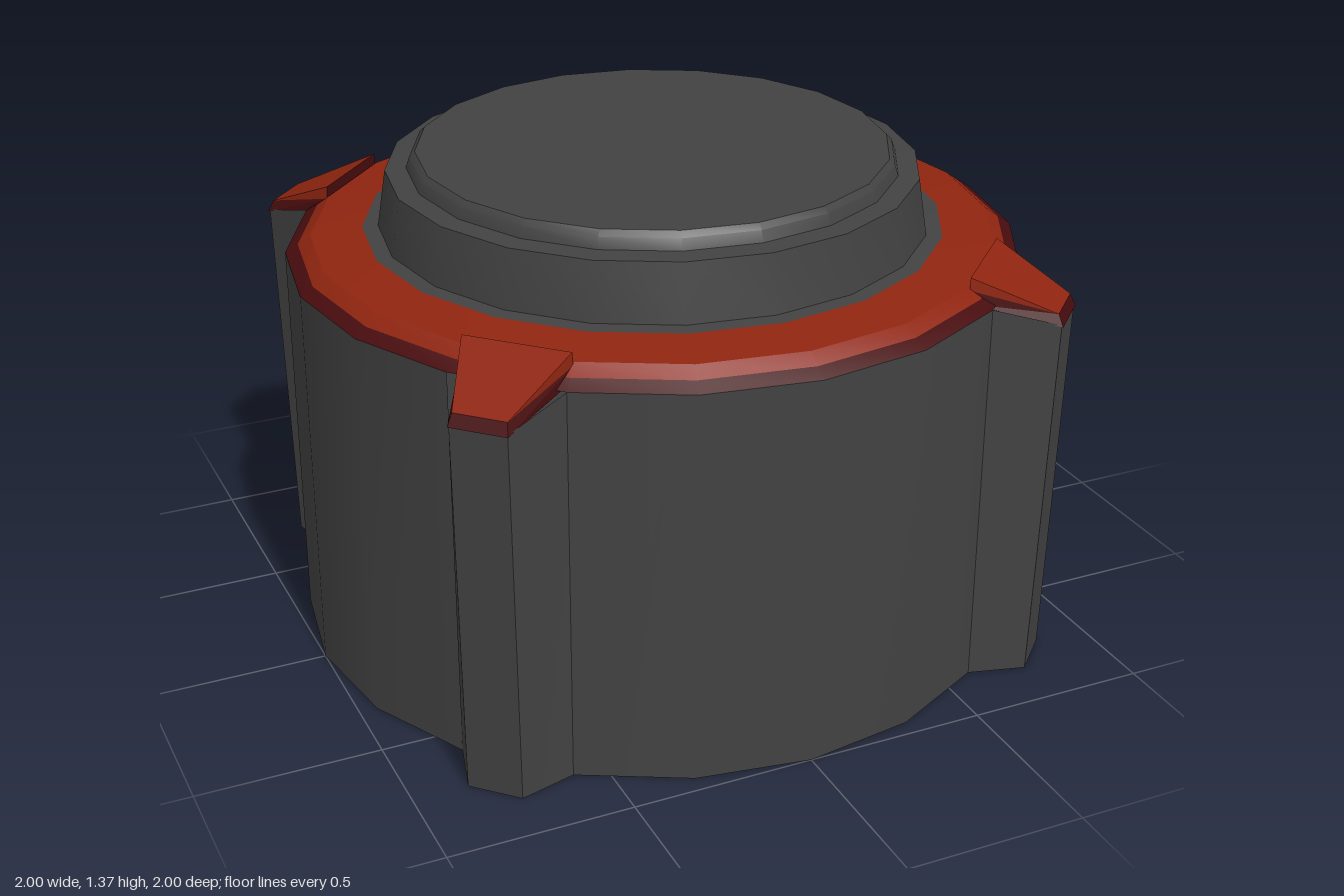
import * as THREE from 'three';
import { toCreasedNormals } from 'three/addons/utils/BufferGeometryUtils.js';

const SIDES = 20;

function material(name, color) {
  const m = new THREE.MeshStandardMaterial({ color, side: THREE.DoubleSide });
  m.name = name;
  return m;
}

// Geometry from a list of four-cornered faces, counter-clockwise from outside
function quads(faces) {
  const pos = [];
  for (const [a, b, c, d] of faces) pos.push(...a, ...b, ...c, ...a, ...c, ...d);
  const g = new THREE.BufferGeometry();
  g.setAttribute('position', new THREE.Float32BufferAttribute(pos, 3));
  g.computeVertexNormals();
  return g;
}

function lathe(points) {
  const g = new THREE.LatheGeometry(points.map(([r, y]) => new THREE.Vector2(r, y)), SIDES);
  return toCreasedNormals(g, 0.5);
}

function add(parent, name, geometry, mat) {
  const mesh = new THREE.Mesh(geometry, mat);
  mesh.name = name;
  parent.add(mesh);
  return mesh;
}

// Open-bottomed wall: a 20-sided tube whose diagonal sides bulge out as hollow ribs
function wallGeometry() {
  const columns = [];
  const push = (angle, radius, side, baseRadius, topY) => {
    const s = Math.sin(angle), c = Math.cos(angle);
    const at = (r, y) => [s * r + c * side, y, c * r - s * side];
    columns.push([at(baseRadius, 0), at(radius, topY)]);
  };
  for (let i = 0; i < SIDES; i++) {
    push(i * Math.PI * 2 / SIDES, 1, 0, 1, 1.09);
    if (i % 5 === 2) {
      const mid = (i + 0.5) * Math.PI * 2 / SIDES;
      for (const side of [-0.076, 0.076]) push(mid, 1.153, side, 1.127, 1.04);
    }
  }
  const faces = columns.map(([b0, t0], i) => {
    const [b1, t1] = columns[(i + 1) % columns.length];
    return [b0, b1, t1, t0];
  });
  return toCreasedNormals(quads(faces), 0.5);
}

export function createModel() {
  const grey = material('dark grey', 0x424242);
  const red = material('rust red', 0x8f2510);
  const darkRed = material('dark red', 0x480c0e);
  const model = new THREE.Group();
  model.name = 'ribbedCap';

  add(model, 'wall', wallGeometry(), grey);

  // Coloured collar on the shoulder
  add(model, 'collarEdge', lathe([[1, 1.09], [0.965, 1.112]]), darkRed);
  add(model, 'collar', lathe([[0.965, 1.112], [0.93, 1.138], [0.79, 1.155]]), red);

  // Stepped lid
  add(model, 'lid', lathe([
    [0.79, 1.155], [0.747, 1.158], [0.722, 1.315], [0.665, 1.32],
    [0.655, 1.35], [0.64, 1.365], [0, 1.365],
  ]), grey);

  // Wedge clasps over the tops of the ribs
  const row = (w, y, z) => [[-w, y, z], [w, y, z]];
  const [inTopL, inTopR] = row(0.145, 1.165, 0.923);
  const [inMidL, inMidR] = row(0.147, 1.13, 0.923);
  const [inLowL, inLowR] = row(0.15, 1.095, 0.923);
  const [outTopL, outTopR] = row(0.072, 1.068, 1.142);
  const [outLowL, outLowR] = row(0.078, 1.035, 1.157);
  const claspTop = quads([
    [inTopL, outTopL, outTopR, inTopR],
    [outTopR, inMidR, inTopR, outTopR],
    [inMidL, outTopL, inTopL, inMidL],
  ]);
  const claspEdge = quads([
    [outLowL, outLowR, outTopR, outTopL],
    [outLowR, inLowR, inMidR, outTopR],
    [inLowL, outLowL, outTopL, inMidL],
    [inLowR, inLowL, inTopL, inTopR],
  ]);
  for (let i = 0; i < 4; i++) {
    const clasp = new THREE.Group();
    clasp.name = 'clasp';
    clasp.rotation.y = Math.PI / 4 + i * Math.PI / 2;
    add(clasp, 'claspTop', claspTop, red);
    add(clasp, 'claspEdge', claspEdge, darkRed);
    model.add(clasp);
  }
  return model;
}
